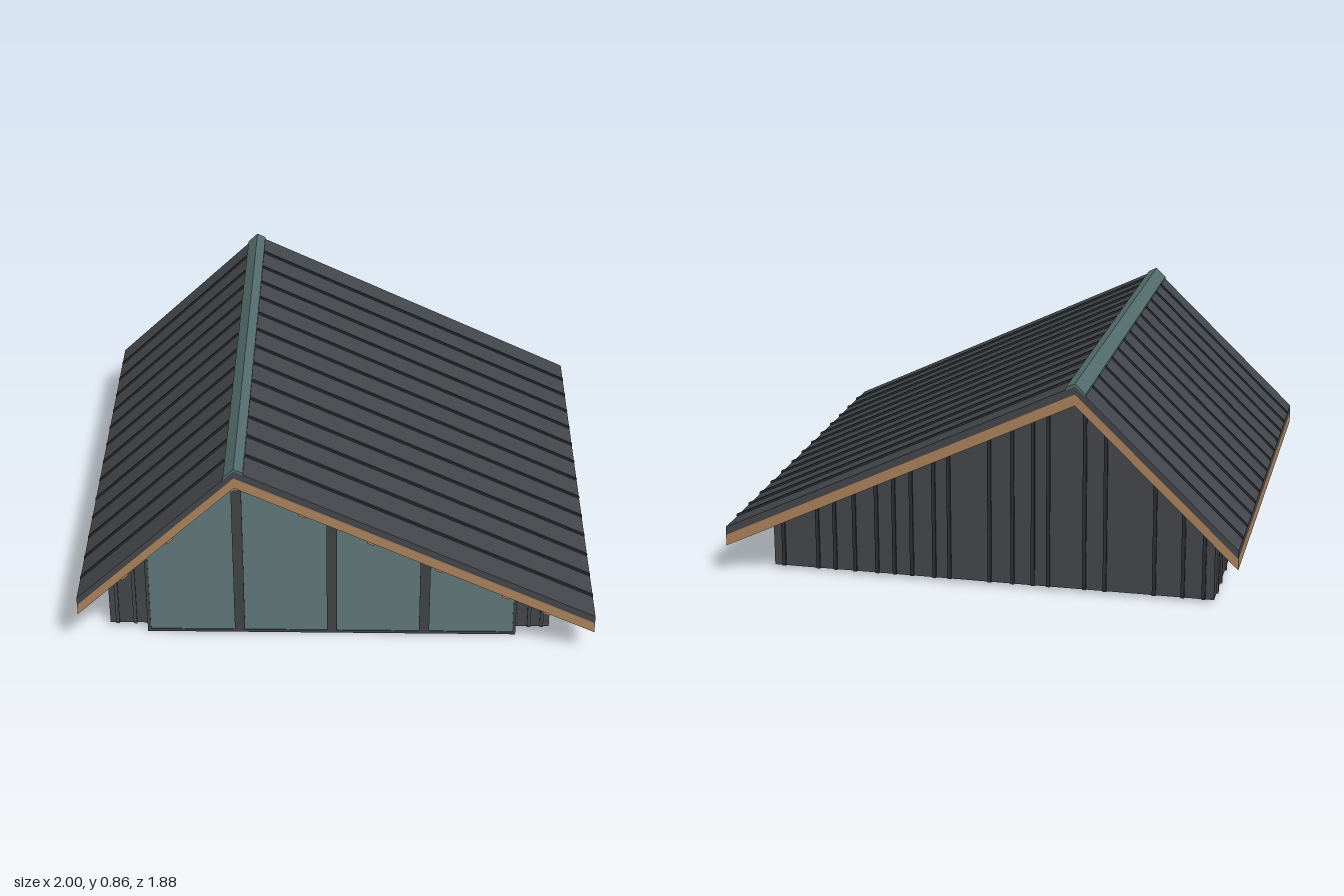
import * as THREE from 'three';

const RIDGE = -0.38;
// height of the roof surface at x, lowered by d
const roofY = (x, d = 0) => 0.855 - d - (x < RIDGE ? 0.96 * (RIDGE - x) : 0.478 * (x - RIDGE));

export function createModel() {
  const group = new THREE.Group();
  const mat = (name, color) => {
    const m = new THREE.MeshStandardMaterial({ color });
    m.name = name;
    return m;
  };
  const cladding = mat('charcoal cladding', 0x43464a);
  const seamDark = mat('dark seam', 0x2b2e31);
  const wood = mat('timber', 0xab825b);
  const glass = mat('tinted glass', 0x5f7679);
  const frame = mat('window frame', 0x404347);
  const capMetal = mat('ridge metal', 0x536c6b);

  // extrude an outline in x, y from z0 to z1
  const slab = (name, pts, z0, z1, material, hole) => {
    const shape = new THREE.Shape(pts.map(p => new THREE.Vector2(...p)));
    if (hole) shape.holes.push(new THREE.Path(hole.map(p => new THREE.Vector2(...p))));
    const g = new THREE.ExtrudeGeometry(shape, { depth: z1 - z0, bevelEnabled: false });
    g.translate(0, 0, z0);
    const m = new THREE.Mesh(g, material);
    m.name = name;
    group.add(m);
    return m;
  };
  // band following the roof between x0 and x1, from depth d0 down to d1
  const band = (name, x0, x1, d0, d1, z0, z1, material) => {
    const xs = x0 < RIDGE && x1 > RIDGE ? [x0, RIDGE, x1] : [x0, x1];
    const lower = xs.map(x => [x, roofY(x, d1)]);
    const upper = xs.map(x => [x, roofY(x, d0)]).reverse();
    return slab(name, [...lower, ...upper], z0, z1, material);
  };
  // wall-like outline with a flat base and a top parallel to the roof
  const gable = (x0, x1, base, d) => {
    const pts = [[x0, base], [x1, base], [x1, roofY(x1, d)]];
    if (x0 < RIDGE && x1 > RIDGE) pts.push([RIDGE, roofY(RIDGE, d)]);
    pts.push([x0, roofY(x0, d)]);
    return pts;
  };
  const box = (name, w, h, d, x, y, z, material) => {
    const m = new THREE.Mesh(new THREE.BoxGeometry(w, h, d), material);
    m.name = name;
    m.position.set(x, y, z);
    group.add(m);
  };

  // house body
  slab('houseBody', gable(-0.9, 0.84, 0.015, 0.07), -0.835, 0.77, cladding);

  // roof covering, timber deck and ridge cap
  band('roofCovering', -1, 1, 0, 0.032, -0.94, 0.94, cladding);
  band('timberDeck', -1, 1, 0.032, 0.076, -0.94, 0.94, wood);
  band('ridgeCap', -0.42, -0.345, -0.009, 0.001, -0.941, 0.941, capMetal);

  // standing seams on both slopes
  for (let i = -6; i <= 6; i++) {
    const z = i * 0.135;
    band('leftSlopeSeam', -1, -0.42, -0.009, 0.002, z - 0.005, z + 0.005, seamDark);
    band('rightSlopeSeam', -0.345, 1, -0.009, 0.002, z - 0.005, z + 0.005, seamDark);
  }

  // purlin ends below the front overhang
  for (const x of [-0.81, -0.63, RIDGE, -0.13, 0.13, 0.39, 0.65, 0.81]) {
    band('purlinEnd', x - 0.013, x + 0.013, 0.07, 0.092, 0.77, 0.93, wood);
  }

  // irregular battens on the back gable
  const backBattens = [0.8, 0.66, 0.59, 0.51, 0.42, 0.35, 0.28, 0.19, 0.13, -0.03,
    -0.12, -0.2, -0.26, -0.4, -0.48, -0.67, -0.78, -0.86];
  for (const x of backBattens) {
    slab('backBatten', gable(x - 0.007, x + 0.007, 0.015, 0.07), -0.843, -0.834, seamDark);
  }
  // battens on the side walls
  for (let i = 0; i < 12; i++) {
    const z = -0.76 + i * 0.13 + 0.025 * Math.sin(i * 5);
    box('rightBatten', 0.008, 0.21, 0.014, 0.843, 0.12, z, cladding);
    box('leftBatten', 0.008, 0.25, 0.014, -0.903, 0.14, z, cladding);
  }
  // battens beside the front window
  for (const x of [-0.87, -0.8, 0.76, 0.81]) {
    slab('frontBatten', gable(x - 0.007, x + 0.007, 0.015, 0.07), 0.769, 0.777, cladding);
  }

  // gable window: outer frame, mullions and one pane per bay
  slab('windowFrame', gable(-0.748, 0.706, 0.002, 0.086), 0.796, 0.808, frame,
    gable(-0.735, 0.694, 0.014, 0.116));
  const mullions = [-0.383, -0.019, 0.345];
  for (const x of mullions) {
    slab('mullion', gable(x - 0.02, x + 0.02, 0.008, 0.11), 0.796, 0.81, frame);
  }
  const edges = [-0.735, ...mullions, 0.694];
  for (let i = 0; i < 4; i++) {
    const x0 = edges[i] + (i > 0 ? 0.02 : 0);
    const x1 = edges[i + 1] - (i < 3 ? 0.02 : 0);
    slab('glassPane', gable(x0, x1, 0.014, 0.116), 0.799, 0.805, glass);
  }
  return group;
}
